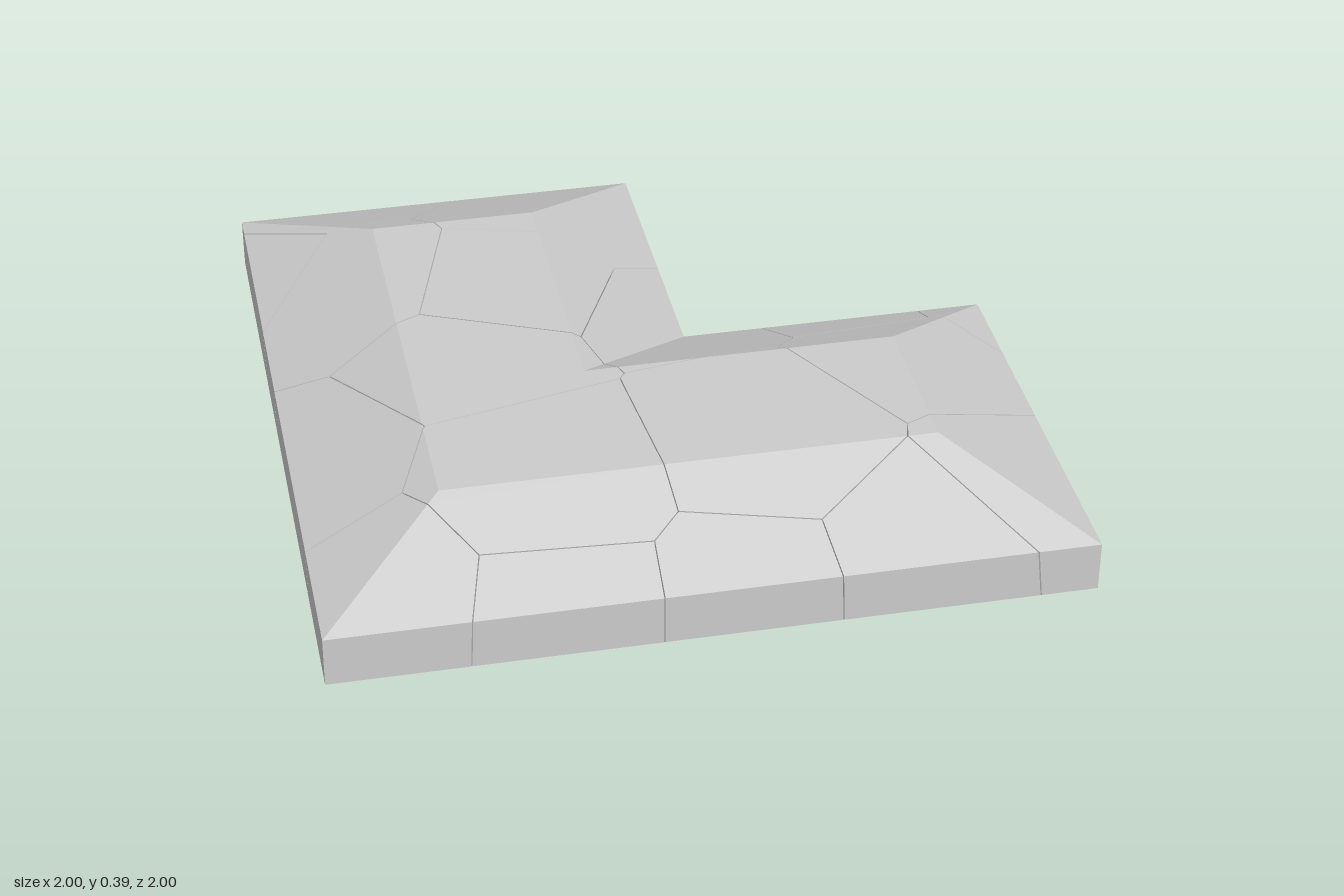
import * as THREE from 'three';

const V = (x, y, z) => new THREE.Vector3(x, y, z);
const EPS = 1e-6;
const HEIGHT = 0.39, UPPER = 0.23, LOWER = 0.09, CHAMFER = 0.13, GAP = 0.0015;

// Half-space n.p <= d; its cut face is left out when open is true
const plane = (n, d, open = false) => ({ n: n.clone().normalize(), d: d / n.length(), open });

// Cut a convex solid (list of faces) by a half-space and cap the cut
function clip(faces, { n, d, open }) {
  const dist = p => n.dot(p) - d;
  if (!faces.some(f => f.points.some(p => dist(p) > EPS))) return faces;
  const kept = [], rim = [];
  const addRim = p => { if (!rim.some(q => q.distanceTo(p) < 1e-5)) rim.push(p); };
  for (const face of faces) {
    const points = [];
    face.points.forEach((a, i) => {
      const b = face.points[(i + 1) % face.points.length];
      const da = dist(a), db = dist(b);
      if (da <= EPS) points.push(a);
      if (Math.abs(da) <= EPS) addRim(a);
      if ((da > EPS && db < -EPS) || (da < -EPS && db > EPS)) {
        const p = a.clone().lerp(b, da / (da - db));
        points.push(p);
        addRim(p);
      }
    });
    if (points.length > 2) kept.push({ points, open: face.open });
  }
  if (rim.length > 2 && kept.length) {
    const centre = rim.reduce((s, p) => s.add(p), V(0, 0, 0)).divideScalar(rim.length);
    const u = V(0, 0, 0).crossVectors(n, Math.abs(n.y) < 0.9 ? V(0, 1, 0) : V(1, 0, 0)).normalize();
    const v = V(0, 0, 0).crossVectors(n, u);
    const angle = p => { const q = p.clone().sub(centre); return Math.atan2(q.dot(v), q.dot(u)); };
    rim.sort((a, b) => angle(a) - angle(b));
    kept.push({ points: rim, open });
  }
  return kept;
}

// Oversized starting block
function block() {
  const faces = [];
  for (const axis of ['x', 'y', 'z']) for (const s of [-1, 1]) {
    const [b, c] = { x: ['y', 'z'], y: ['z', 'x'], z: ['x', 'y'] }[axis];
    const points = [[-1, -1], [1, -1], [1, 1], [-1, 1]].map(([p, q]) => {
      const w = V(0, 0, 0);
      w[axis] = 3 * s; w[b] = 3 * p; w[c] = 3 * q;
      return w;
    });
    faces.push({ points: s > 0 ? points : points.reverse(), open: false });
  }
  return faces;
}

// One arm of the slab: walls with a wide upper slope and a small lower chamfer
function arm(walls, mitre) {
  const planes = [plane(V(0, 1, 0), HEIGHT), plane(V(0, -1, 0), 0)];
  for (const { n, d, inset = 0.345, chamfer = true } of walls) {
    const rise = HEIGHT - UPPER;
    planes.push(plane(n, d));
    planes.push(plane(n.clone().multiplyScalar(rise).add(V(0, inset, 0)), rise * d + inset * UPPER));
    if (chamfer) planes.push(plane(n.clone().multiplyScalar(LOWER).add(V(0, -CHAMFER, 0)), LOWER * (d - CHAMFER)));
  }
  planes.push(plane(mitre, 0, true));
  return planes.reduce(clip, block());
}

// Centres of the fractured stone pieces
const SITES = [
  [-1.02, 0.14, -0.68], [-0.74, 0.18, -0.99], [-0.2, 0.2, -0.68], [-0.71, 0.24, -0.43],
  [-0.3, 0.32, -0.31], [0.1, 0.2, -0.13], [-0.47, 0.2, 0.08], [-0.96, 0.16, 0.33],
  [-0.86, 0.14, 0.9], [-0.36, 0.26, 0.59], [0.2, 0.26, 0.54], [-0.38, 0.12, 1.02],
  [0.1, 0.12, 1.03], [0.55, 0.14, 0.98], [0.92, 0.18, 0.72], [0.72, 0.22, 0.25],
  [0.62, 0.12, -0.2], [1.02, 0.1, -0.18],
].map(s => V(...s));

export function createModel() {
  const group = new THREE.Group();
  group.name = 'crackedCornerSlab';
  const material = new THREE.MeshStandardMaterial({ color: 0xcccccc, flatShading: true });

  // Two arms meeting on the diagonal of the L
  const arms = [
    arm([
      { n: V(-1, 0, 0), d: 1 },
      { n: V(0, 0, -1), d: 1, inset: 0.37 },
      { n: V(1, 0, 0), d: 0.15 },
    ], V(1, 0, 1)),
    arm([
      { n: V(0, 0, 1), d: 1 },
      { n: V(1, 0, 0), d: 1, chamfer: false },
      { n: V(0, 0, -1), d: 0.15 },
    ], V(-1, 0, -1)),
  ];

  // Each piece is the part of the slab nearest its centre
  SITES.forEach((site, i) => {
    const cell = SITES.filter(o => o !== site).map(o => {
      const n = o.clone().sub(site).normalize();
      return plane(n, n.dot(o.clone().add(site).multiplyScalar(0.5)) - GAP);
    });
    const positions = [];
    for (const solid of arms) for (const { points, open } of cell.reduce(clip, solid)) {
      if (open) continue;
      for (let k = 1; k < points.length - 1; k++)
        for (const p of [points[0], points[k], points[k + 1]]) positions.push(p.x, p.y, p.z);
    }
    if (!positions.length) return;
    const geometry = new THREE.BufferGeometry();
    geometry.setAttribute('position', new THREE.Float32BufferAttribute(positions, 3));
    geometry.computeVertexNormals();
    const mesh = new THREE.Mesh(geometry, material);
    mesh.name = `stonePiece${i + 1}`;
    group.add(mesh);
  });
  return group;
}
